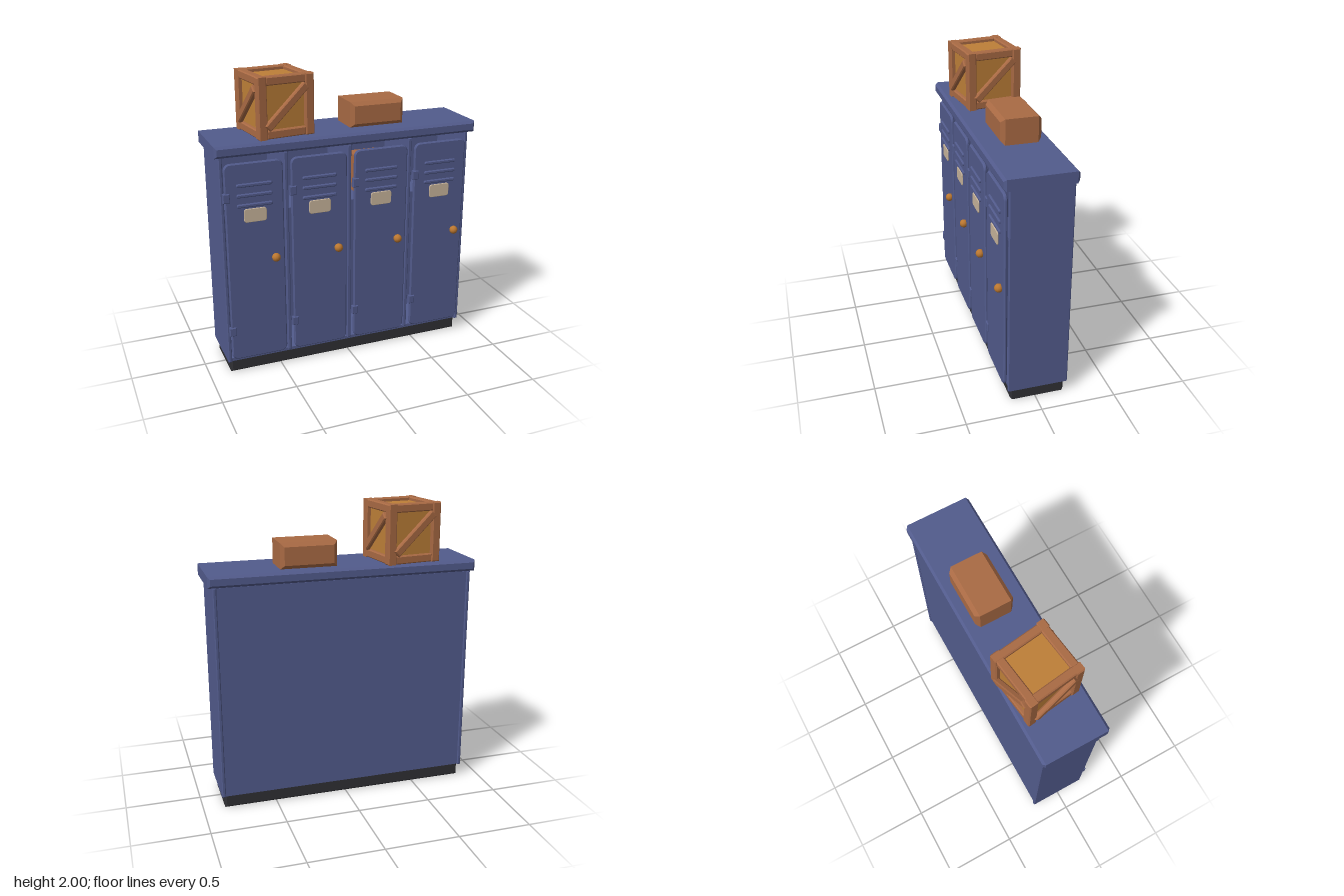
import * as THREE from 'three';

const mat = (name, color) => {
  const m = new THREE.MeshStandardMaterial({ color });
  m.name = name;
  return m;
};

// Rounded or square block, chamfered around its front and back faces
function block(w, h, d, bevel = 0.006, radius = 0) {
  const x = w / 2 - bevel, y = h / 2 - bevel, r = radius;
  const s = new THREE.Shape();
  if (r > 0) {
    s.absarc(x - r, y - r, r, 0, Math.PI / 2);
    s.absarc(-x + r, y - r, r, Math.PI / 2, Math.PI);
    s.absarc(-x + r, -y + r, r, Math.PI, Math.PI * 1.5);
    s.absarc(x - r, -y + r, r, Math.PI * 1.5, Math.PI * 2);
    s.closePath();
  } else {
    s.moveTo(-x, -y).lineTo(x, -y).lineTo(x, y).lineTo(-x, y).closePath();
  }
  const g = new THREE.ExtrudeGeometry(s, {
    depth: d - 2 * bevel, bevelEnabled: true, bevelThickness: bevel,
    bevelSize: bevel, bevelSegments: 1, curveSegments: 5,
  });
  return g.translate(0, 0, bevel - d / 2);
}

export function createModel() {
  const blue = mat('lockerBlue', 0x525b8c);
  const dark = mat('plinthCharcoal', 0x303034);
  const wood = mat('woodBrown', 0xa96a44);
  const gold = mat('panelGold', 0xbd7f38);
  const brass = mat('knobBrass', 0xbb7730);
  const cream = mat('labelCream', 0xc9b59c);

  const model = new THREE.Group();
  model.name = 'lockerBank';
  const add = (parent, name, geo, material, x, y, z) => {
    const m = new THREE.Mesh(geo, material);
    m.name = name;
    m.position.set(x, y, z);
    parent.add(m);
    return m;
  };
  const group = (parent, name) => {
    const g = new THREE.Group();
    g.name = name;
    parent.add(g);
    return g;
  };

  // Hollow cabinet
  const cabinet = group(model, 'cabinet');
  add(cabinet, 'plinth', block(1.71, 0.1, 0.365, 0.012), dark, 0, 0.05, -0.015);
  add(cabinet, 'topSlab', block(1.81, 0.075, 0.46, 0.016), blue, 0, 1.5675, 0);
  for (const s of [-1, 1])
    add(cabinet, 'sidePanel', block(0.025, 1.445, 0.405, 0.006), blue, s * 0.8625, 0.8075, -0.0135);
  add(cabinet, 'backPanel', new THREE.BoxGeometry(1.7, 1.43, 0.015), blue, 0, 0.8125, -0.2);
  add(cabinet, 'floorPanel', new THREE.BoxGeometry(1.7, 0.022, 0.385), blue, 0, 0.1, -0.015);
  add(cabinet, 'ceilingPanel', new THREE.BoxGeometry(1.7, 0.015, 0.37), blue, 0, 1.523, -0.02);
  for (const x of [-0.4375, 0, 0.4375])
    add(cabinet, 'divider', block(0.025, 1.42, 0.385, 0.005), blue, x, 0.81, -0.006);

  // Four lockers with doors and fittings
  const doorGeo = block(0.385, 1.37, 0.024, 0.008, 0.035);
  const ventGeo = block(0.235, 0.024, 0.018, 0.006, 0.005);
  const labelGeo = block(0.15, 0.092, 0.009, 0.003, 0.015);
  const hingeGeo = block(0.045, 0.062, 0.03, 0.005);
  const knobGeo = new THREE.SphereGeometry(0.029, 12, 8);
  for (let i = 0; i < 4; i++) {
    const locker = group(model, 'locker');
    locker.position.x = -0.658 + i * 0.4375;
    add(locker, 'door', doorGeo, blue, 0, 0.8, 0.2);
    for (const y of [1.34, 1.272, 1.205]) add(locker, 'ventSlat', ventGeo, blue, 0, y, 0.214);
    add(locker, 'label', labelGeo, cream, 0, 1.136, 0.2155);
    add(locker, 'knob', knobGeo, brass, 0.127, 0.825, 0.226);
    for (const y of [0.328, 1.265]) add(locker, 'hinge', hingeGeo, blue, -0.183, y, 0.205);
    add(locker, 'shelf', new THREE.BoxGeometry(0.41, 0.02, 0.34), blue, 0, 1.115, -0.025);
  }
  add(model, 'storedBox', block(0.22, 0.26, 0.2, 0.012), wood, 0.22, 1.255, -0.04);

  // Plain box on top
  add(model, 'smallBox', block(0.38, 0.17, 0.265, 0.025), wood, 0.235, 1.69, -0.0275);

  // Slatted crate
  const crate = group(model, 'crate');
  crate.position.set(-0.44, 1.8025, -0.025);
  crate.rotation.y = 0.13;
  const W = 0.385, H = 0.395, T = 0.06;
  add(crate, 'crateCore', new THREE.BoxGeometry(W - 0.06, H - 0.05, W - 0.06), gold, 0, 0, 0);
  for (let i = 0; i < 4; i++) {
    const side = group(crate, 'crateSide');
    side.rotation.y = (i * Math.PI) / 2;
    add(side, 'cornerPost', block(T, H, T, 0.007), wood, W / 2 - T / 2, 0, W / 2 - T / 2);
    for (const s of [-1, 1]) {
      const rail = block(W - 2 * T + 0.01, 0.055, T - 0.005, 0.007);
      add(side, 'rail', rail, wood, 0, s * (H / 2 - 0.0285), W / 2 - T / 2 - 0.004);
    }
    const brace = add(side, 'diagonalBrace', block(0.37, 0.052, 0.036, 0.007), wood, 0, 0, W / 2 - 0.005);
    brace.rotation.z = 0.75;
  }

  return model;
}
